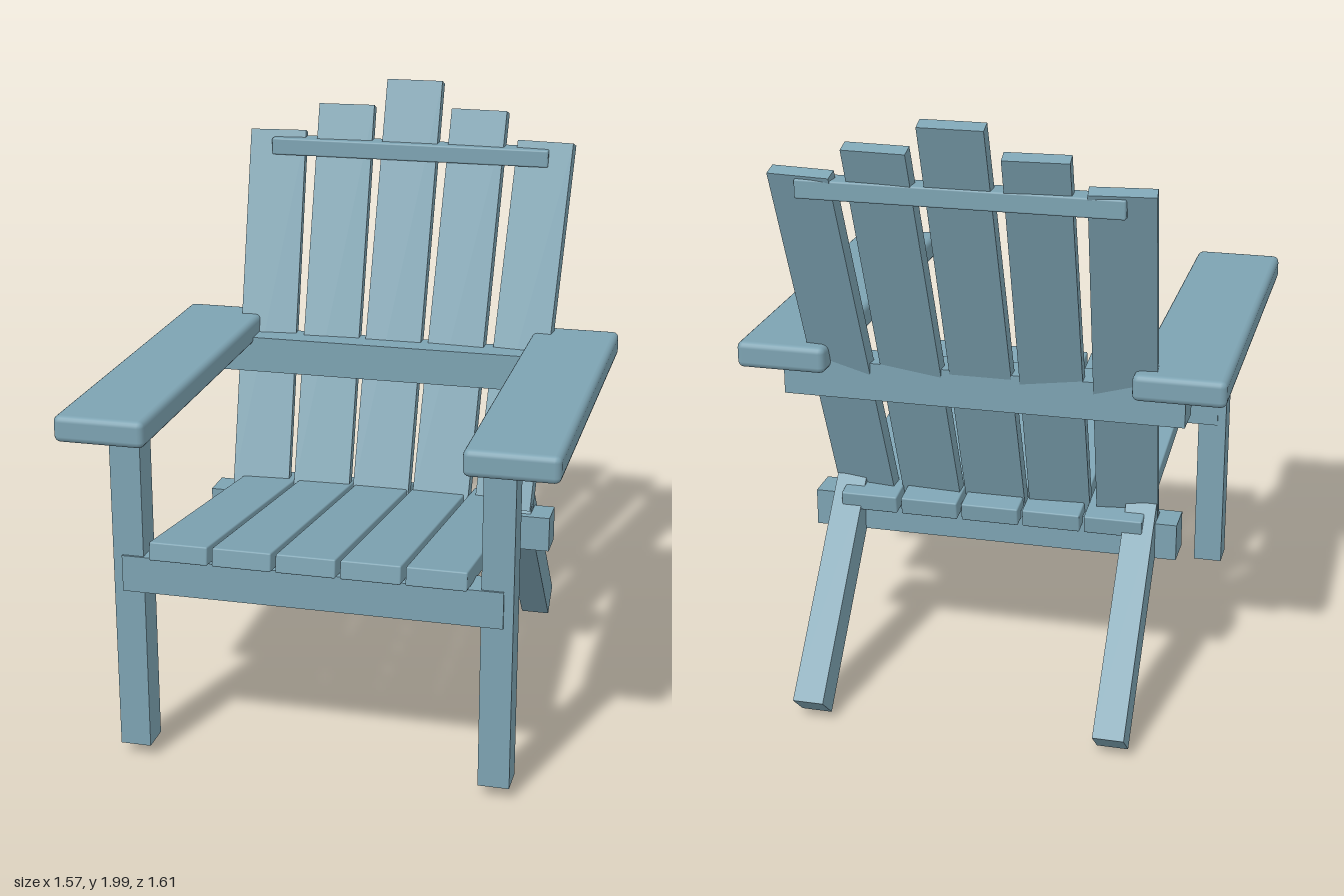
import * as THREE from 'three';
import { RoundedBoxGeometry } from 'three/addons/geometries/RoundedBoxGeometry.js';

export function createModel() {
  const chair = new THREE.Group();
  chair.name = 'gardenChair';
  const paint = new THREE.MeshStandardMaterial({ color: 0x7da3b2 });
  paint.name = 'bluePaint';

  // One wooden board: size and centre, with an optional edge radius
  function board(name, [w, h, d], [x, y, z], radius = 0) {
    const geometry = radius
      ? new RoundedBoxGeometry(w, h, d, 2, radius)
      : new THREE.BoxGeometry(w, h, d);
    const mesh = new THREE.Mesh(geometry, paint);
    mesh.name = name;
    mesh.position.set(x, y, z);
    chair.add(mesh);
    return mesh;
  }

  // Legs and armrests, mirrored
  for (const [side, s] of [['left', 1], ['right', -1]]) {
    board(side + 'Armrest', [0.292, 0.086, 1.34], [s * 0.638, 1.146, 0.135], 0.02);
    board(side + 'FrontLeg', [0.1, 1.06, 0.1], [s * 0.59, 0.575, 0.657]);
    const backLeg = board(side + 'BackLeg', [0.1, 0.776, 0.113], [s * 0.49, 0.333, -0.505]);
    backLeg.rotation.x = Math.atan2(0.515, 0.58);
  }

  // Cross rails
  board('frontRail', [1.22, 0.12, 0.113], [0, 0.65, 0.658]);
  board('rearRail', [1.22, 0.122, 0.115], [0, 0.539, -0.253]);
  board('armRail', [1.3, 0.125, 0.122], [0, 1.067, -0.406]);
  board('topRail', [1, 0.06, 0.084], [0, 1.76, -0.682], 0.006);

  // Seat slats, sloping down to the back
  for (let i = -2; i <= 2; i++) {
    const slat = board('seatSlat', [0.19, 0.06, 1.126], [i * 0.205, 0.673, 0.195], 0.005);
    slat.rotation.x = -0.138;
  }

  // Back slats, leaning back and turned inward towards the sides
  const lean = THREE.MathUtils.degToRad(20.5);
  const thickness = 0.045;
  const footX = [0, 0.215, 0.437];
  const tops = [2.0, 1.91, 1.815];
  for (let i = -2; i <= 2; i++) {
    const n = Math.abs(i);
    const length = (tops[n] - 0.61) / Math.cos(lean);
    const slat = board('backSlat', [0.2, length, thickness], [Math.sign(i) * footX[n], 0.61, -0.23]);
    slat.geometry.translate(0, length / 2, -thickness / 2);
    slat.rotation.set(-lean, THREE.MathUtils.degToRad(-3 * i), 0, 'YXZ');
  }

  return chair;
}
